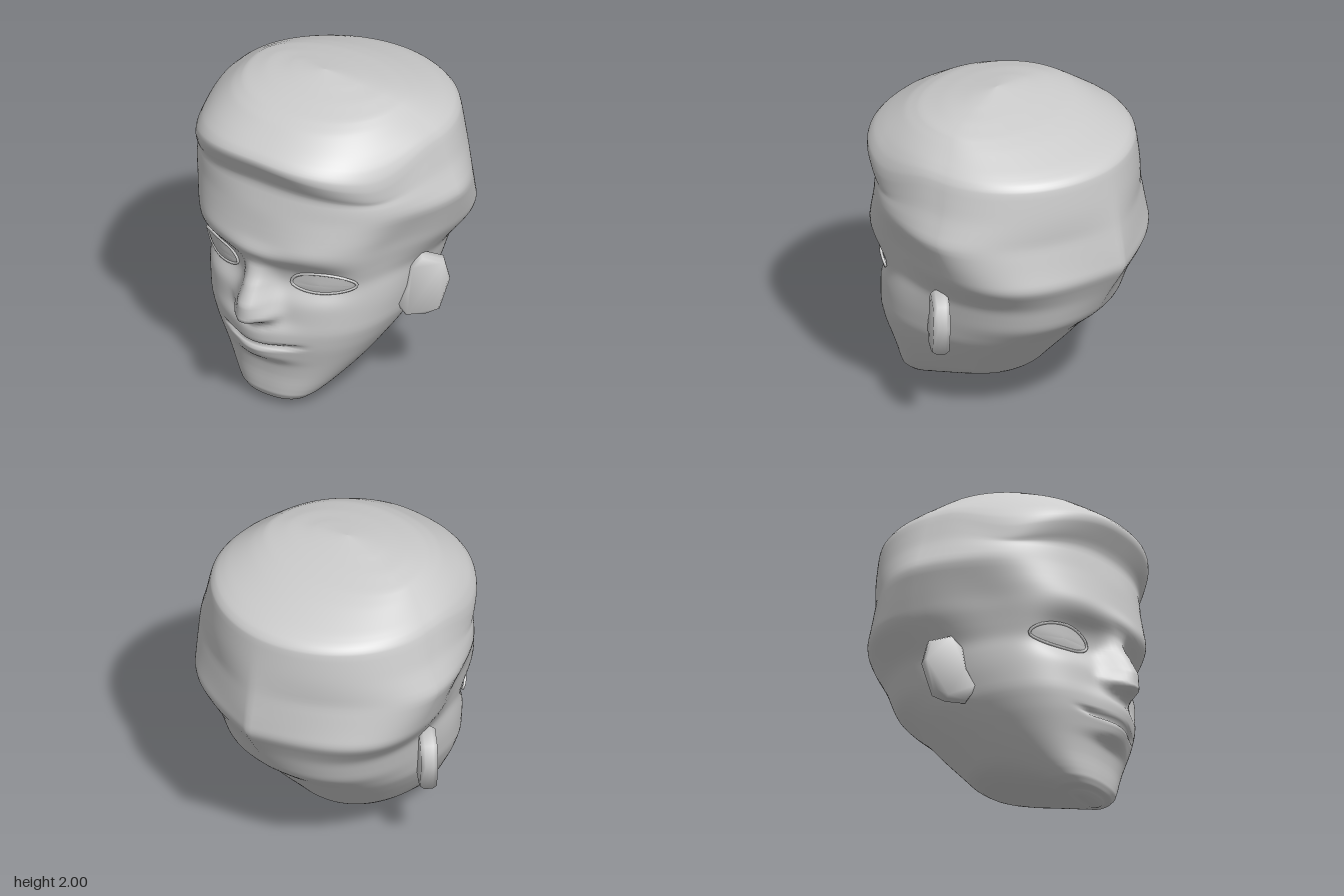
import * as THREE from 'three';
import { toCreasedNormals } from 'three/addons/utils/BufferGeometryUtils.js';

const material = new THREE.MeshStandardMaterial({ color: 0xcccccc });

// Horizontal sections: y, half width, front z, z of widest point, back z, front and back roundness
const SECTIONS = [
  [0.0, 0, 0.53, 0.53, 0.53, 2, 2],
  [0.012, 0.13, 0.59, 0.53, 0.49, 2.2, 2],
  [0.05, 0.22, 0.655, 0.5, 0.4, 2.4, 2],
  [0.13, 0.3, 0.66, 0.42, 0.12, 2.4, 2.1],
  [0.22, 0.37, 0.66, 0.35, -0.19, 2.4, 2.3],
  [0.32, 0.44, 0.675, 0.28, -0.28, 2.4, 2.2],
  [0.45, 0.52, 0.705, 0.2, -0.4, 2.45, 2.2],
  [0.57, 0.58, 0.715, 0.12, -0.5, 2.55, 2.3],
  [0.72, 0.615, 0.705, 0.05, -0.67, 2.6, 2.45],
  [0.9, 0.65, 0.69, -0.05, -0.77, 2.8, 2.3],
  [1.08, 0.77, 0.75, -0.2, -0.88, 2.5, 2.2],
  [1.2, 0.81, 0.76, -0.17, -0.865, 2.35, 1.95],
  [1.36, 0.86, 0.735, -0.12, -0.835, 2.1, 1.7],
  [1.53, 0.785, 0.695, -0.12, -0.81, 2.45, 1.85],
  [1.72, 0.735, 0.795, -0.1, -0.78, 2.6, 1.95],
  [1.76, 0.715, 0.75, -0.1, -0.765, 2.5, 1.95],
  [1.91, 0.52, 0.51, 0, -0.35, 2.2, 2],
  [1.95, 0.45, 0.32, 0.03, -0.16, 2, 1.9],
  [2.0, 0, 0.06, 0.06, 0.06, 2, 2],
];
const NOSE = [[0.58, 0], [0.615, 0.05], [0.655, 0.17], [0.76, 0.175], [0.88, 0.125], [1.0, 0.025], [1.05, 0]];

// Linear lookup in a table whose first column is the key
function lookup(table, key) {
  if (key <= table[0][0]) return table[0];
  for (let i = 1; i < table.length; i++) {
    const a = table[i - 1], b = table[i];
    if (key <= b[0]) return a.map((v, k) => THREE.MathUtils.lerp(v, b[k], (key - a[0]) / (b[0] - a[0])));
  }
  return table[table.length - 1];
}

// Section at a height, slightly softened across neighbouring heights
function section(y) {
  const h = Math.max(0, Math.min(0.035, y, 2 - y));
  const lo = lookup(SECTIONS, y - h), mid = lookup(SECTIONS, y), hi = lookup(SECTIONS, y + h);
  return mid.map((v, k) => v * 0.5 + (lo[k] + hi[k]) * 0.25);
}

const bump = (d, s, p = 2) => Math.exp(-Math.pow(Math.abs(d / s), p));

// Forward offset of the facial features
function features(x, y) {
  const ax = Math.abs(x);
  const noseWidth = THREE.MathUtils.lerp(0.12, 0.085, THREE.MathUtils.smoothstep(y, 0.7, 0.95));
  const mouthY = 0.455 + 0.25 * x * x;
  let d = lookup(NOSE, y - 1.5 * x * x)[1] * bump(x, noseWidth, 2.5);
  d += 0.025 * bump(ax - 0.12, 0.05) * bump(y - 0.67, 0.06); // nostril wings
  d -= 0.055 * bump(ax - 0.34, 0.2, 3) * bump(y - 0.92, 0.12, 3); // eye sockets
  d += 0.04 * bump(x, 0.22) * bump(y - 1.09, 0.07); // brow centre
  d += 0.015 * bump(ax - 0.36, 0.2) * bump(y - 1.13, 0.06); // brows
  d += 0.065 * bump(x, 0.2) * bump(y - 0.53, 0.085, 3); // upper lip
  d += 0.065 * bump(x, 0.17) * bump(y - 0.4, 0.065, 3); // lower lip
  d -= 0.04 * bump(x, 0.27, 6) * bump(y - mouthY, 0.013); // mouth line
  return d;
}

// Depth of the face surface at a point seen from the front
function faceZ(x, y) {
  const [, w, zf, zm, , nf] = section(y);
  const r = Math.min(1, Math.abs(x) / w);
  return zm + (zf - zm) * Math.pow(1 - Math.pow(r, nf), 1 / nf) + features(x, y);
}

function headGeometry() {
  const rows = 170, quarter = 40, cols = quarter * 4;
  const pos = [], index = [];
  for (let i = 0; i <= rows; i++) {
    const y = 1 - Math.cos(Math.PI * i / rows);
    const [, w, zf, zm, zb, nf, nb] = section(y);
    for (let j = 0; j < cols; j++) {
      const side = j < cols / 2 ? 1 : -1;
      const k = side > 0 ? j : cols - j; // steps away from the front centre
      const front = k <= quarter;
      const n = front ? nf : nb;
      const s = front ? k / quarter : (2 * quarter - k) / quarter;
      const t = Math.PI / 2 * Math.pow(s, n / 2);
      let x = w * Math.pow(Math.sin(t), 2 / n);
      let z = zm + ((front ? zf : zb) - zm) * Math.pow(Math.max(0, Math.cos(t)), 2 / n);
      if (front) {
        z += features(x, y) * THREE.MathUtils.smoothstep(z, 0.15, 0.45);
      } else if (w > 0) {
        z += 0.24 * (x / w) * (1 - x / w) * bump(y - 1.1, 0.3); // pointed back of the skull
      }
      // hairline sinks towards the temples
      const drop = 0.28 * x * x * bump(y - 1.65, 0.15) * THREE.MathUtils.smoothstep(z, 0, 0.5);
      x -= 0.085 * s * bump(y - 1.13, 0.24) * bump(z - 0.3, 0.25); // temples
      pos.push(side * x, y - drop, z);
    }
  }
  for (let i = 0; i < rows; i++) {
    for (let j = 0; j < cols; j++) {
      const a = i * cols + j, b = i * cols + (j + 1) % cols;
      index.push(a, b, a + cols, b, b + cols, a + cols);
    }
  }
  const geo = new THREE.BufferGeometry();
  geo.setAttribute('position', new THREE.Float32BufferAttribute(pos, 3));
  geo.setIndex(index);
  geo.computeVertexNormals();
  return geo;
}

// Almond outline around an eye, r = 1 at the lids
function eyePoint(side, angle, r) {
  const c = Math.cos(angle), s = Math.sin(angle);
  const x = side * 0.37 + 0.168 * c * r;
  const y = 0.905 + 0.008 * side * c * r + (s > 0 ? 0.08 : 0.055) * s * r;
  return new THREE.Vector3(x, y, faceZ(x, y));
}

function makeEye(side) {
  const group = new THREE.Group();
  group.name = side > 0 ? 'leftEye' : 'rightEye';

  const ball = new THREE.RingGeometry(0.001, 1, 28, 5);
  const p = ball.attributes.position;
  for (let i = 0; i < p.count; i++) {
    const r = Math.hypot(p.getX(i), p.getY(i));
    const v = eyePoint(side, Math.atan2(p.getY(i), p.getX(i)), r);
    p.setXYZ(i, v.x, v.y, v.z + 0.005 + 0.02 * (1 - r * r));
  }
  ball.computeVertexNormals();
  const eye = new THREE.Mesh(ball, material);
  eye.name = 'eyeball';

  const rim = [];
  for (let i = 0; i < 20; i++) {
    const v = eyePoint(side, i / 20 * Math.PI * 2, 1.04);
    rim.push(v.setZ(v.z + 0.004));
  }
  const lids = new THREE.Mesh(new THREE.TubeGeometry(new THREE.CatmullRomCurve3(rim, true), 48, 0.009, 6, true), material);
  lids.name = 'eyelids';
  group.add(eye, lids);
  return group;
}

// Thin ear plate flaring outwards and back
function makeEar(side) {
  const outline = [[-0.05, 0.63], [0.01, 0.74], [0.03, 0.87], [0.09, 0.93], [0.21, 0.89], [0.24, 0.77], [0.18, 0.58], [0.11, 0.555], [0, 0.555]];
  const shape = new THREE.Shape(outline.map(([s, y]) => new THREE.Vector2(side * s, y)));
  const geo = new THREE.ExtrudeGeometry(shape, {
    depth: 0.05, bevelEnabled: true, bevelThickness: 0.025, bevelSize: 0.015, bevelSegments: 1,
  });
  geo.translate(0, 0, -0.03);
  geo.rotateY(side * 0.765);
  geo.translate(side * 0.6, 0, 0.06);
  const ear = new THREE.Mesh(toCreasedNormals(geo, 1.2), material);
  ear.name = side > 0 ? 'leftEar' : 'rightEar';
  return ear;
}

export function createModel() {
  const model = new THREE.Group();
  model.name = 'head';
  const skull = new THREE.Mesh(headGeometry(), material);
  skull.name = 'skullAndFace';
  model.add(skull);
  for (const side of [1, -1]) model.add(makeEye(side), makeEar(side));
  return model;
}
